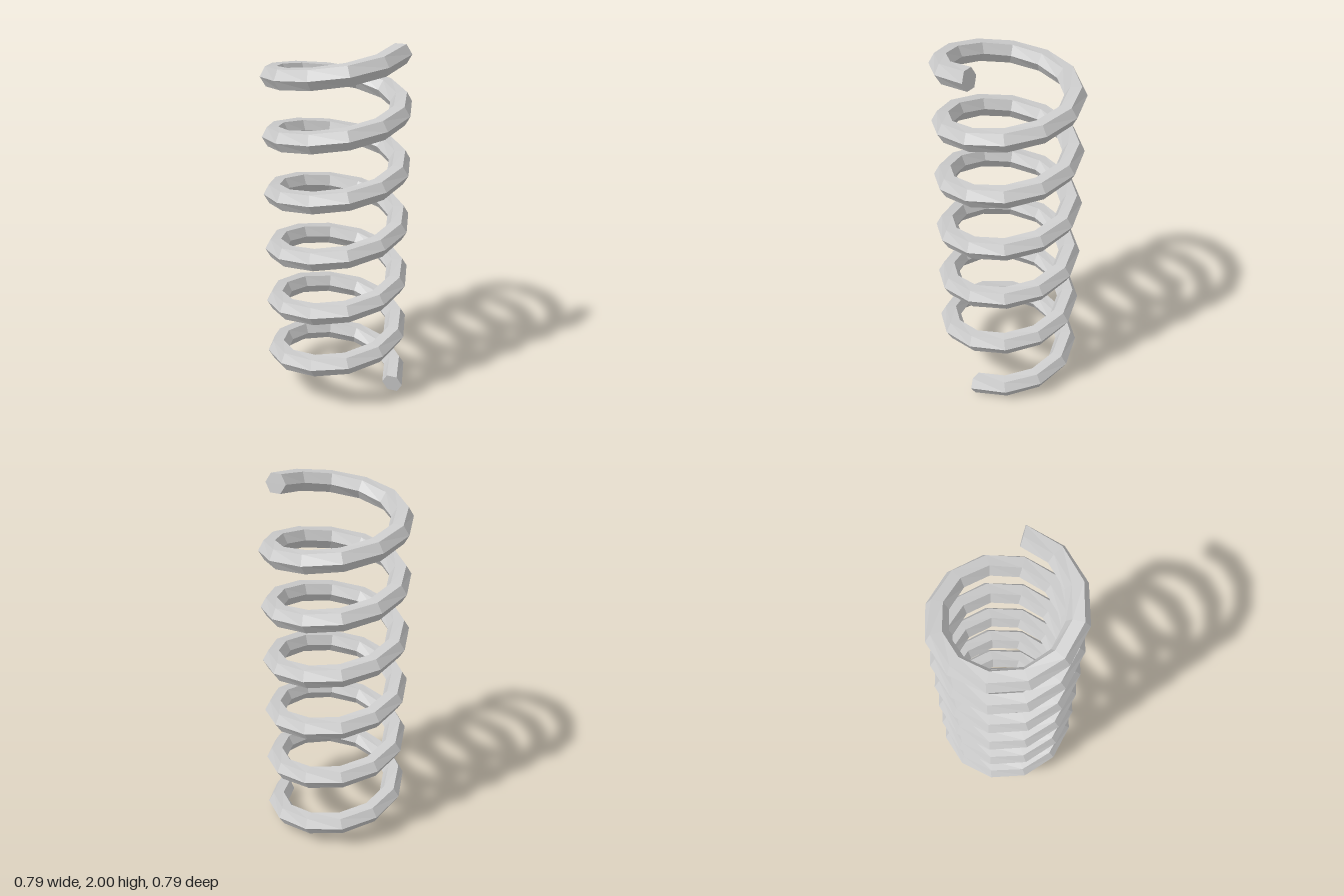
import * as THREE from 'three';

const TURNS = 6, STEPS = 12, SIDES = 6;
const COIL_R = 0.335, WIRE_R = 0.058;
const Y0 = 0.05, Y1 = 1.95;

// Helical wire: hexagonal rings set square to the helix, one every 30 degrees
function coilGeometry() {
  const n = TURNS * STEPS;
  const rise = (Y1 - Y0) / (TURNS * Math.PI * 2);
  const pos = [], idx = [];
  for (let i = 0; i <= n; i++) {
    const a = (i / STEPS) * Math.PI * 2;
    const radial = new THREE.Vector3(Math.cos(a), 0, -Math.sin(a));
    const tangent = new THREE.Vector3(-Math.sin(a) * COIL_R, rise, -Math.cos(a) * COIL_R).normalize();
    const up = radial.clone().cross(tangent);
    const centre = radial.clone().multiplyScalar(COIL_R).setY(Y0 + rise * a);
    for (let j = 0; j < SIDES; j++) {
      const t = (j / SIDES) * Math.PI * 2;
      const p = centre.clone()
        .addScaledVector(radial, WIRE_R * Math.cos(t))
        .addScaledVector(up, WIRE_R * Math.sin(t));
      pos.push(p.x, p.y, p.z);
    }
  }
  // Side faces
  for (let i = 0; i < n; i++) {
    for (let j = 0; j < SIDES; j++) {
      const k = (j + 1) % SIDES;
      const a = i * SIDES + j, b = i * SIDES + k;
      const c = a + SIDES, d = b + SIDES;
      idx.push(a, c, b, b, c, d);
    }
  }
  // End caps
  const e = n * SIDES;
  for (let j = 1; j < SIDES - 1; j++) {
    idx.push(0, j, j + 1, e, e + j + 1, e + j);
  }
  const indexed = new THREE.BufferGeometry();
  indexed.setAttribute('position', new THREE.Float32BufferAttribute(pos, 3));
  indexed.setIndex(idx);
  const g = indexed.toNonIndexed();
  g.computeVertexNormals();
  return g;
}

export function createModel() {
  const group = new THREE.Group();
  group.name = 'coilSpring';
  const material = new THREE.MeshStandardMaterial({ color: 0xcccccc, flatShading: true });
  const coil = new THREE.Mesh(coilGeometry(), material);
  coil.name = 'coil';
  group.add(coil);
  return group;
}
